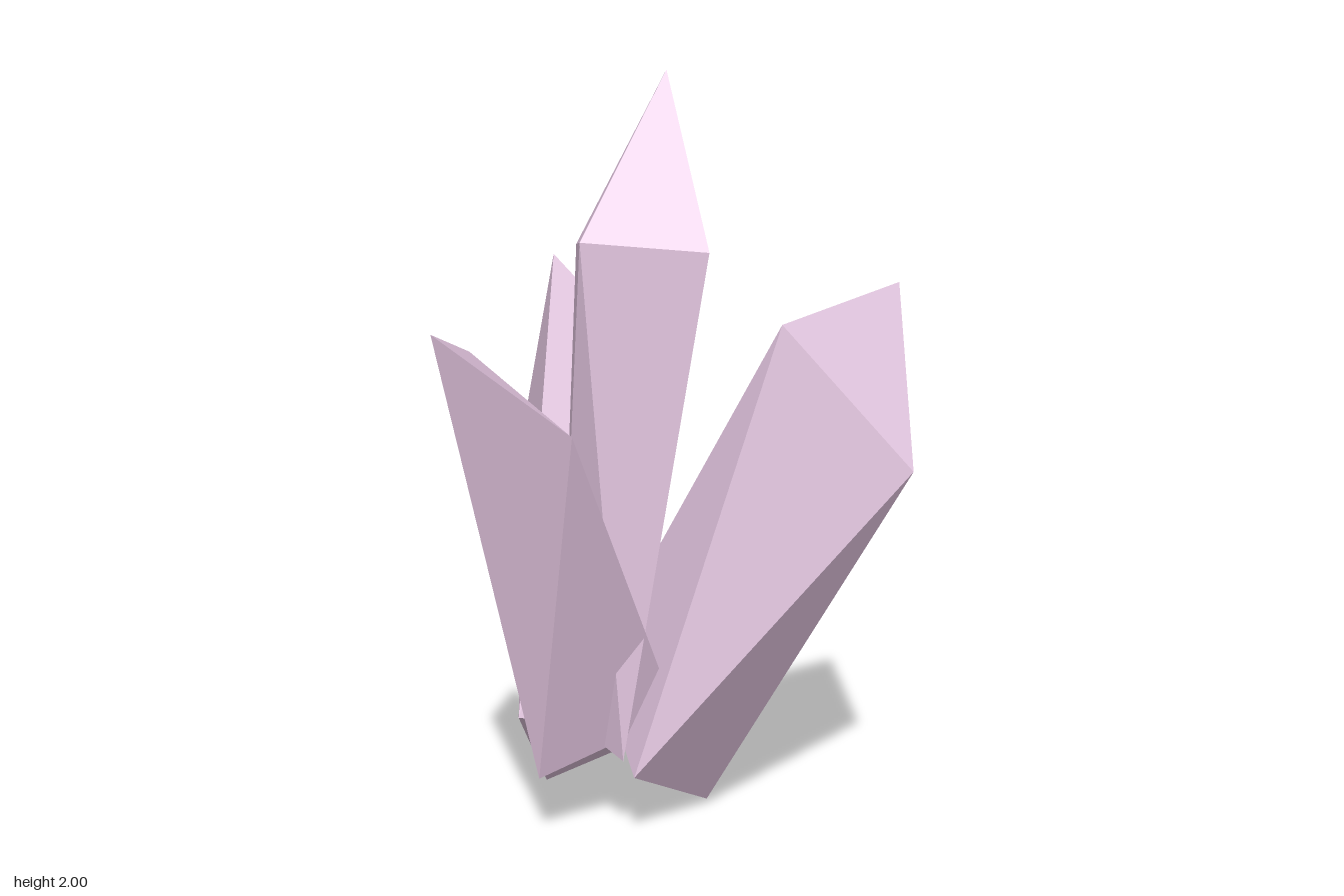
import * as THREE from 'three';
import { ConvexGeometry } from 'three/addons/geometries/ConvexGeometry.js';

// Each crystal is a faceted shard: slanted tip corners, then the root corners.
const CRYSTALS = {
  centreCrystal: {
    tip: [[0.04, 2, -0.18], [-0.2, 1.55, -0.09], [0.27, 1.55, -0.09], [0.04, 1.575, 0.135]],
    root: [[0.17, 0.24, 0.11], [-0.08, 0.6, -0.27], [-0.1, 0.3, 0.08]],
  },
  frontCrystal: {
    tip: [[0.01, 1.385, 0.59], [-0.18, 1.3, 0.31], [0.23, 1.14, 0.35]],
    root: [[0.01, 0.19, 0.26], [-0.24, 0.31, -0.03], [0.185, 0.32, -0.08]],
  },
  leftSideCrystal: {
    tip: [[0.495, 1.46, -0.59], [0.37, 1.365, -0.26], [0.66, 1.0, -0.44]],
    root: [[0.15, 0.015, -0.25], [0.2, 0.2, 0.1], [-0.12, 0.4, -0.08]],
  },
  rightSideCrystal: {
    tip: [[-0.57, 1.49, -0.36], [-0.66, 0.99, -0.32], [-0.42, 1.01, -0.55], [-0.25, 1.28, -0.345]],
    root: [[-0.29, 0, -0.05], [-0.1, 0.32, 0.23], [0.1, 0.24, -0.12]],
  },
};

export function createModel() {
  const group = new THREE.Group();
  group.name = 'crystalCluster';
  const crystalPink = new THREE.MeshStandardMaterial({ color: 0xdcbfd9 });
  crystalPink.name = 'pale pink crystal';

  for (const [name, { tip, root }] of Object.entries(CRYSTALS)) {
    const corners = [...tip, ...root].map((p) => new THREE.Vector3(...p));
    const mesh = new THREE.Mesh(new ConvexGeometry(corners), crystalPink);
    mesh.name = name;
    group.add(mesh);
  }
  return group;
}
